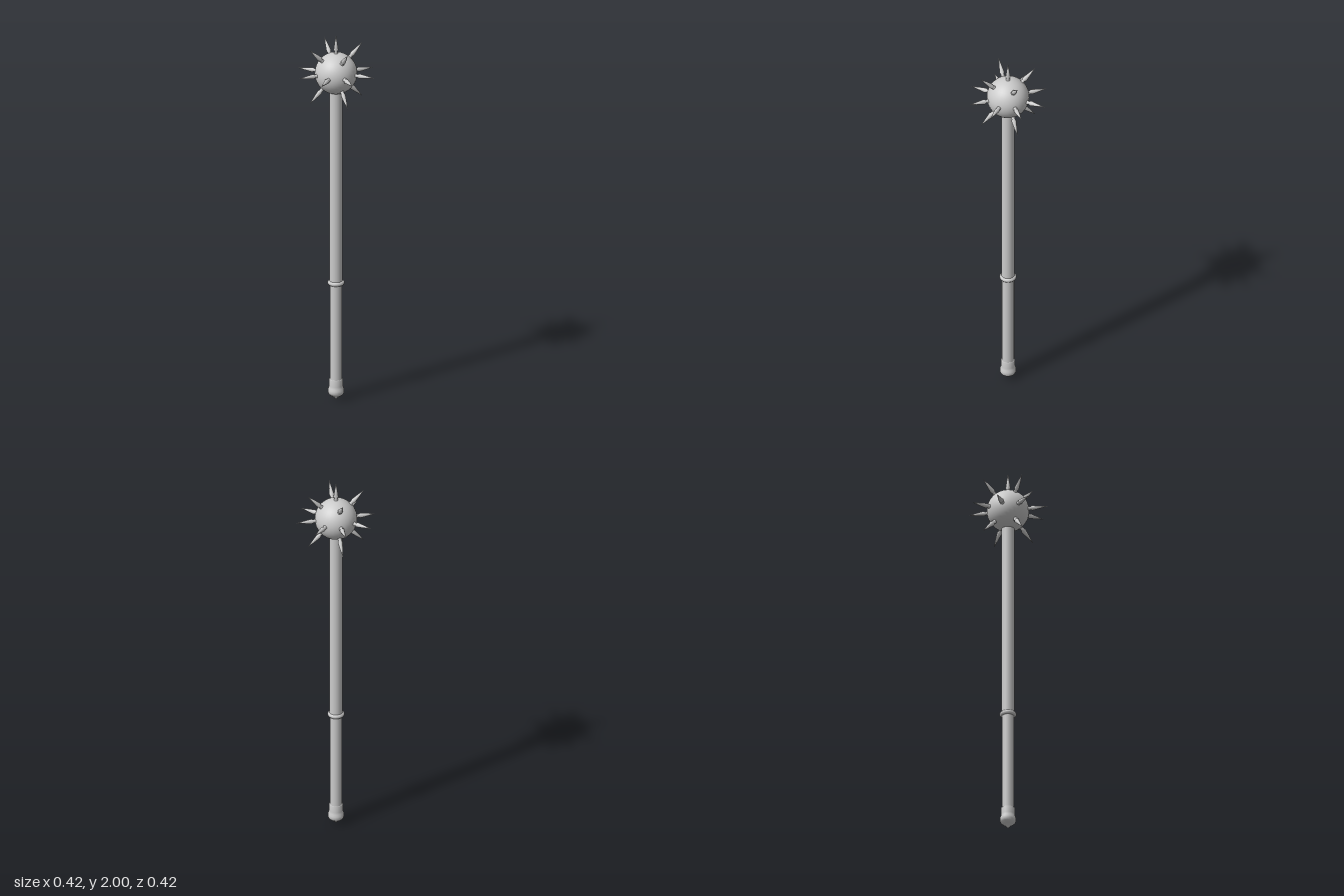
import * as THREE from 'three';

const BALL_Y = 1.79, BALL_R = 0.109;

export function createModel() {
  const group = new THREE.Group();
  const material = new THREE.MeshStandardMaterial({ color: 0xcccccc });

  const add = (name, geometry, parent = group) => {
    const mesh = new THREE.Mesh(geometry, material);
    mesh.name = name;
    parent.add(mesh);
    return mesh;
  };
  // Profiles are [radius, height] pairs, listed from bottom to top
  const lathe = (points, sides) =>
    new THREE.LatheGeometry(points.map(([r, y]) => new THREE.Vector2(r, y)), sides);

  // Long shaft, grip and the collar between them
  add('shaft', new THREE.CylinderGeometry(0.034, 0.034, 1.08, 20)).position.y = 1.17;
  add('grip', new THREE.CylinderGeometry(0.032, 0.032, 0.55, 20)).position.y = 0.365;
  add('collar', lathe([
    [0.031, 0.63], [0.039, 0.632], [0.043, 0.638], [0.043, 0.645], [0.039, 0.651], [0.033, 0.653],
  ], 20));

  // Pommel: straight sleeve, swelling, then a small pointed end
  add('pommel', lathe([
    [0, 0], [0.007, 0.006], [0.012, 0.014], [0.026, 0.022], [0.038, 0.032], [0.042, 0.043],
    [0.042, 0.055], [0.038, 0.066], [0.036, 0.078], [0.036, 0.112], [0.031, 0.114],
  ], 20));

  // Spiked ball
  const head = new THREE.Group();
  head.name = 'head';
  head.position.y = BALL_Y;
  group.add(head);
  add('ball', new THREE.SphereGeometry(BALL_R, 32, 24), head);

  // Spike: narrow foot flaring into a long point
  const spikeGeometry = lathe([
    [0.011, 0.1], [0.011, 0.111], [0.008, 0.117], [0.013, 0.129], [0.007, 0.17], [0, 0.21],
  ], 8);
  const up = new THREE.Vector3(0, 1, 0);
  const addSpike = (azimuth, elevation) => {
    const direction = new THREE.Vector3(
      Math.cos(elevation) * Math.sin(azimuth), Math.sin(elevation), Math.cos(elevation) * Math.cos(azimuth));
    add('spike', spikeGeometry, head).quaternion.setFromUnitVectors(up, direction);
  };

  // Eight around the middle, four above, four below and one on top
  for (let i = 0; i < 8; i++) addSpike(i * Math.PI / 4, 0);
  for (let i = 0; i < 4; i++) {
    addSpike(i * Math.PI / 2, Math.PI / 4);
    addSpike(i * Math.PI / 2, -Math.PI / 4);
  }
  addSpike(0, Math.PI / 2);

  return group;
}
